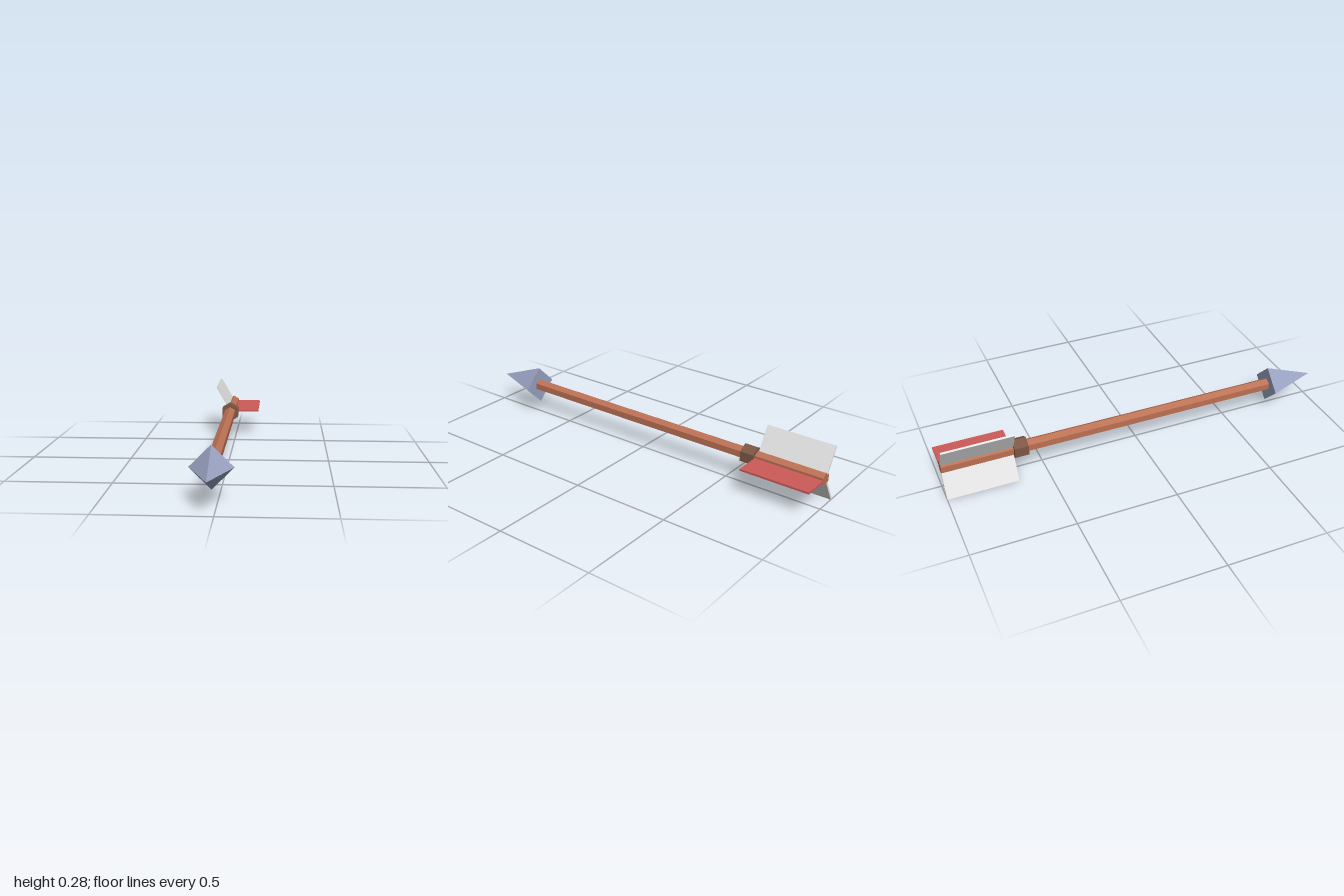
import * as THREE from 'three';

const flat = (name, color) => {
  const m = new THREE.MeshStandardMaterial({ color });
  m.name = name;
  return m;
};

export function createModel() {
  const wood = flat('wood', 0xbc7154);
  const binding = flat('darkBinding', 0x7e5745);
  const metal = flat('metal', 0x99a2c1);
  const red = flat('redFeather', 0xcd5b58);
  const pale = flat('paleFeather', 0xe4e4e4);

  const arrow = new THREE.Group();
  arrow.name = 'arrow';
  arrow.position.set(-0.03, 0.139, 0);

  // Faceted prism or cone along z, with a corner pointing straight up
  const prism = (name, material, rFront, rBack, sides, z0, z1) => {
    const g = new THREE.CylinderGeometry(rFront, rBack, z1 - z0, sides).toNonIndexed();
    g.rotateX(Math.PI / 2);
    g.computeVertexNormals();
    const mesh = new THREE.Mesh(g, material);
    mesh.name = name;
    mesh.position.z = (z0 + z1) / 2;
    mesh.rotation.z = Math.PI; // corner upward
    arrow.add(mesh);
  };

  prism('shaft', wood, 0.032, 0.032, 6, -1, 0.745);
  prism('collar', binding, 0.05, 0.05, 6, -0.65, -0.58);
  prism('arrowhead', metal, 0, 0.098, 4, 0.74, 1);

  // Three fletching vanes spaced evenly around the shaft
  const inner = 0.024, outer = 0.157;
  [red, pale, pale].forEach((material, i) => {
    const g = new THREE.BoxGeometry(outer - inner, 0.01, 0.35);
    g.translate((inner + outer) / 2, 0, -0.825);
    const vane = new THREE.Mesh(g, material);
    vane.name = ['sideVane', 'upperVane', 'lowerVane'][i];
    vane.rotation.z = (i * Math.PI * 2) / 3;
    arrow.add(vane);
  });

  const model = new THREE.Group();
  model.name = 'model';
  model.add(arrow);
  return model;
}
